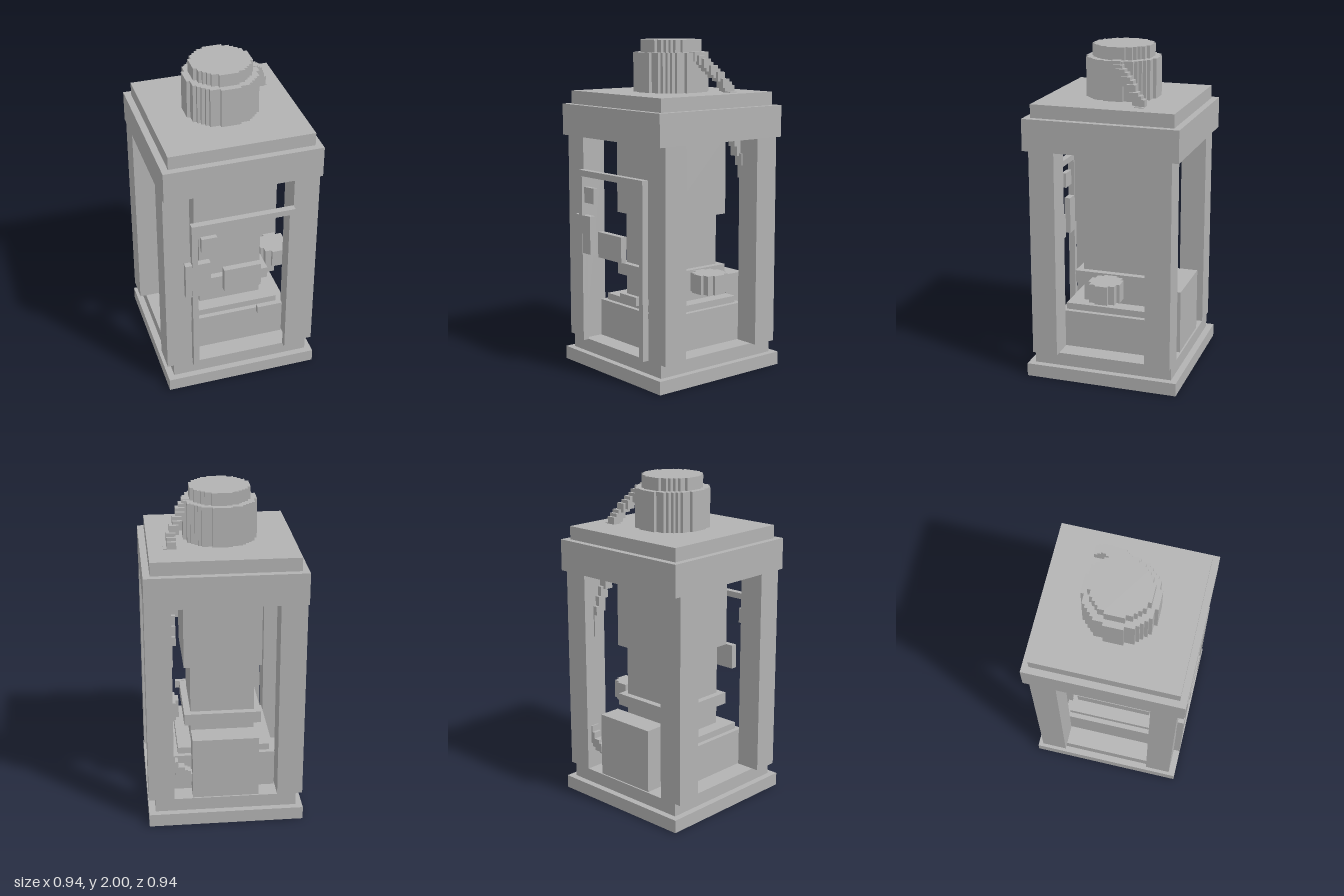
import * as THREE from 'three';

const V = 2 / 102; // block size that the stepped shapes snap to

export function createModel() {
  const model = new THREE.Group();
  const grey = new THREE.MeshStandardMaterial({ color: 0xb2b2b2 });
  grey.name = 'plain grey';

  const add = (name, geometry, parent = model) => {
    const mesh = new THREE.Mesh(geometry, grey);
    mesh.name = name;
    parent.add(mesh);
    return mesh;
  };

  // Box given by its limits on each axis
  const box = (name, x0, x1, y0, y1, z0, z1, parent) => {
    const mesh = add(name, new THREE.BoxGeometry(x1 - x0, y1 - y0, z1 - z0), parent);
    mesh.position.set((x0 + x1) / 2, (y0 + y1) / 2, (z0 + z1) / 2);
    return mesh;
  };
  const slab = (name, half, y0, y1) => box(name, -half, half, y0, y1, -half, half);

  // Upright disc with a stepped, blocky outline
  const steppedDisc = (name, cells, y0, y1, x = 0) => {
    const right = [];
    for (let j = -cells; j < cells; j++) {
      const mid = j + 0.5;
      const w = Math.round(Math.sqrt(cells * cells - mid * mid)) * V;
      right.push([w, j * V], [w, (j + 1) * V]);
    }
    const left = right.map(([w, z]) => [-w, z]).reverse();
    const shape = new THREE.Shape([...right, ...left].map(([a, b]) => new THREE.Vector2(a, b)));
    const geo = new THREE.ExtrudeGeometry(shape, { depth: y1 - y0, bevelEnabled: false });
    geo.rotateX(-Math.PI / 2);
    add(name, geo).position.set(x, y0, 0);
  };

  // Base
  slab('basePlate', 0.47, 0, 0.08);
  slab('baseStep', 0.43, 0.08, 0.16);

  // Corner posts
  for (const sx of [-1, 1]) {
    for (const sz of [-1, 1]) {
      const post = add('cornerPost', new THREE.BoxGeometry(0.155, 1.26, 0.155));
      post.position.set(sx * 0.392, 0.79, sz * 0.353);
    }
  }

  // Roof, chimney and cap
  slab('roof', 0.47, 1.42, 1.61);
  slab('roofStep', 0.43, 1.61, 1.69);
  steppedDisc('chimney', 11, 1.69, 1.925);
  steppedDisc('chimneyCap', 9, 1.925, 2);

  // Pedestal and machine body
  slab('pedestal', 0.31, 0.16, 0.39);
  slab('pedestalTop', 0.28, 0.39, 0.43);
  slab('column', 0.195, 0.43, 0.945);
  slab('collar', 0.235, 0.557, 0.63);
  slab('upperBody', 0.235, 0.945, 1.42);
  box('rearBox', -0.2, 0.2, 0.16, 0.55, -0.42, -0.28);
  steppedDisc('sideDial', 5, 0.515, 0.63, 0.355);

  // Front door frame and the fittings on it
  const door = new THREE.Group();
  door.name = 'door';
  model.add(door);
  for (const s of [-1, 1]) {
    const bar = box('doorSideBar', -0.0175, 0.0175, 0.16, 1.22, 0.43, 0.47, door);
    bar.position.x = s * 0.295;
  }
  box('doorTopBar', -0.28, 0.28, 1.183, 1.22, 0.43, 0.47, door);
  box('latch', -0.353, -0.2, 0.71, 0.944, 0.43, 0.468, door);
  box('frontPanel', -0.118, 0.11, 0.71, 0.864, 0.43, 0.469, door);
  box('upperTag', -0.255, -0.16, 1.025, 1.12, 0.44, 0.469, door);
  box('lowerTag', 0.095, 0.25, 0.48, 0.53, 0.44, 0.469, door);

  // Blocky cable from the chimney, through the roof, down to the rear box
  const cable = new THREE.Group();
  cable.name = 'cable';
  model.add(cable);
  const path = new THREE.CatmullRomCurve3([
    [0.2, 1.91, -0.02], [0.25, 1.82, -0.09], [0.3, 1.72, -0.18], [0.31, 1.55, -0.22],
    [0.3, 1.38, -0.26], [0.32, 1.2, -0.32], [0.36, 0.9, -0.35], [0.36, 0.5, -0.36],
    [0.31, 0.36, -0.37], [0.2, 0.28, -0.36],
  ].map((p) => new THREE.Vector3(...p)));
  const link = new THREE.BoxGeometry(2.8 * V, 2.8 * V, 2.8 * V);
  for (const p of path.getSpacedPoints(56)) {
    const snap = (n) => Math.round(n / V) * V;
    add('cableLink', link, cable).position.set(snap(p.x), snap(p.y), snap(p.z));
  }

  return model;
}
